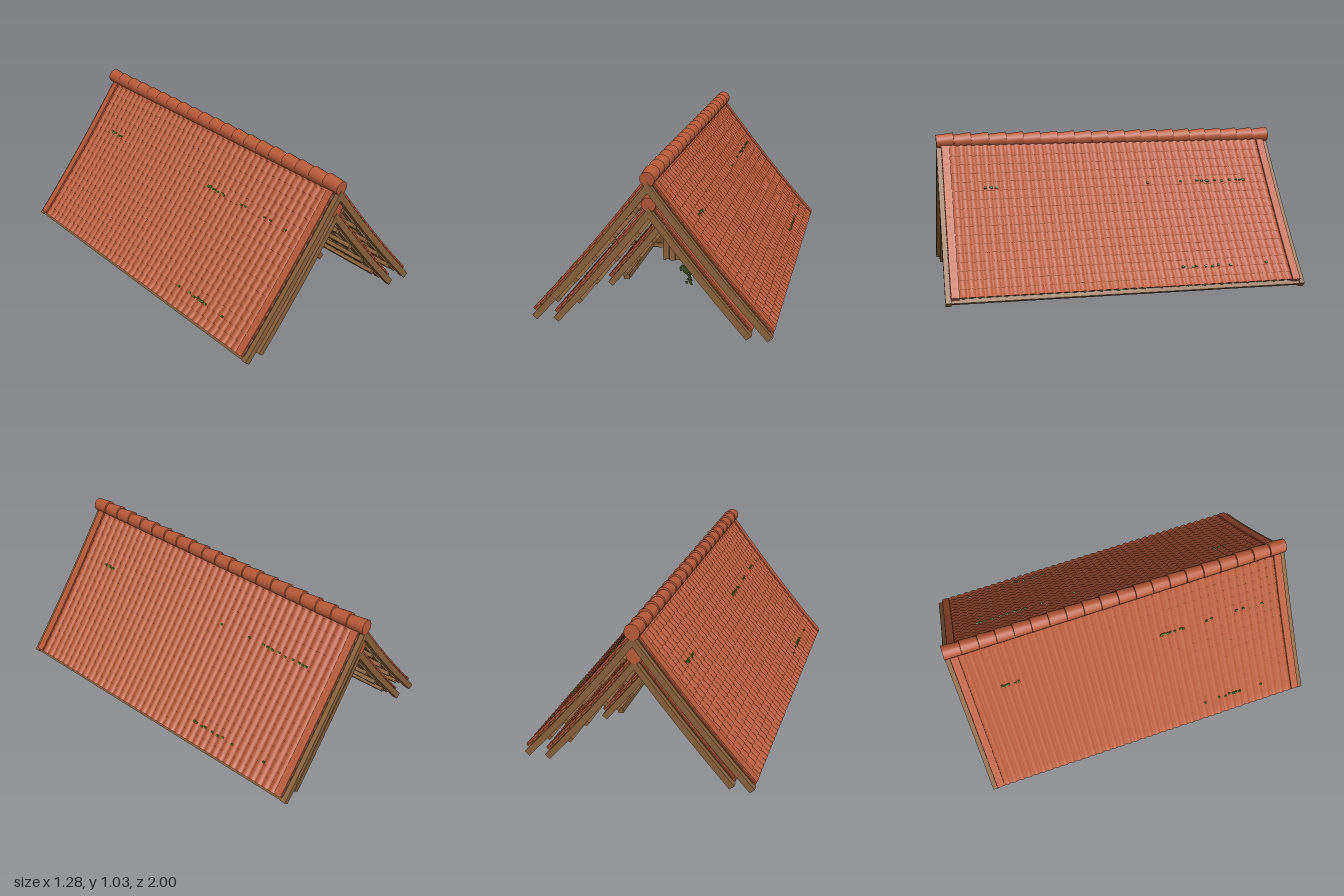
import * as THREE from 'three';

const mat = (name, color, side = THREE.FrontSide) => {
  const m = new THREE.MeshStandardMaterial({ color, side });
  m.name = name;
  return m;
};

// Small seeded generator for leaves and moss
let seed = 7;
const rnd = () => (seed = (seed * 16807) % 2147483647) / 2147483647;

// Roof curve: steep at the ridge, flaring slightly at the eaves.
// Returns a point at half-width x, sunk d below the tile surface.
function roofPoint(peak, x, d) {
  const y = peak - 1.32 * x + 0.168 * x * x;
  if (x === 0) return new THREE.Vector2(0, y - d * 1.65);
  const s = 1.32 - 0.336 * x, len = Math.hypot(s, 1);
  return new THREE.Vector2(Math.max(0, x - (d * s) / len), y - d / len);
}

// Bent band following both slopes, from depth d0 to d1
function chevron(peak, end, d0, d1, z0, z1) {
  const n = 6, outer = [], inner = [];
  for (let i = -n; i <= n; i++) {
    const flip = i < 0 ? -1 : 1, x = (Math.abs(i) / n) * end;
    const a = roofPoint(peak, x, d0), b = roofPoint(peak, x, d1);
    a.x *= flip; b.x *= flip;
    outer.push(a);
    inner.unshift(b);
  }
  const g = new THREE.ExtrudeGeometry(new THREE.Shape([...outer, ...inner]), { depth: z1 - z0, bevelEnabled: false });
  return g.translate(0, 0, z0);
}

// Corrugated tile sheet with overlapping courses on one slope
function tileSheet(peak, end, halfLen, side) {
  const waves = Math.round(halfLen * 44), cols = waves * 6, courses = Math.round(end * 28);
  const pos = [], idx = [], rows = courses * 2;
  for (let r = 0; r < rows; r++) {
    const x = (Math.ceil(r / 2) / courses) * end + 0.0005;
    const lift = r % 2 ? 0.001 : 0.007;
    for (let c = 0; c <= cols; c++) {
      const wave = Math.abs(Math.sin((c / 6) * Math.PI)) * 0.01;
      const p = roofPoint(peak, x, 0.004 + lift - wave);
      pos.push(p.x * side, p.y, -halfLen + (2 * halfLen * c) / cols);
    }
  }
  const w = cols + 1;
  for (let r = 0; r < rows - 1; r++) for (let c = 0; c < cols; c++) {
    const a = r * w + c, b = a + w;
    if (side > 0) idx.push(a, a + 1, b, b, a + 1, b + 1);
    else idx.push(a, b, a + 1, b, b + 1, a + 1);
  }
  const g = new THREE.BufferGeometry();
  g.setAttribute('position', new THREE.Float32BufferAttribute(pos, 3));
  g.setIndex(idx);
  g.computeVertexNormals();
  return g;
}

export function createModel() {
  seed = 7;
  const model = new THREE.Group();
  model.name = 'gableRoof';
  const tile = mat('terracotta', 0xb85a39, THREE.DoubleSide);
  const wood = mat('wood', 0x8a623c);
  const darkWood = mat('darkWood', 0x6e4d2e);
  const plaster = mat('plaster', 0x978a75);
  const leaf = mat('leafGreen', 0x2c430a, THREE.DoubleSide);
  const moss = mat('mossGreen', 0x4a7a14);

  const add = (parent, name, geo, material, x = 0, y = 0, z = 0) => {
    const m = new THREE.Mesh(geo, material);
    m.name = name;
    m.position.set(x, y, z);
    parent.add(m);
    return m;
  };
  const box = (parent, name, w, h, d, material, x, y, z) =>
    add(parent, name, new THREE.BoxGeometry(w, h, d), material, x, y, z);

  function roof(name, peak, end, half) {
    const g = new THREE.Group();
    g.name = name;
    model.add(g);
    const inset = half - 0.026;
    for (const s of [-1, 1]) {
      add(g, 'tiles', tileSheet(peak, end, inset, s), tile);
      // Verge tiles and barge boards on each gable end
      const v = s * (inset - 0.025), f = s * (half - 0.015);
      add(g, 'vergeTiles', chevron(peak, end, -0.003, 0.022, v - 0.022, v + 0.022), tile);
      add(g, 'bargeBoard', chevron(peak, end + 0.012, 0.018, 0.053, f - 0.015, f + 0.015), wood);
      // Eave board
      const e = roofPoint(peak, end, 0.032);
      box(g, 'eaveBoard', 0.016, 0.032, 2 * inset, wood, s * e.x, e.y, 0).rotation.z = s * 0.72;
    }
    add(g, 'roofBoards', chevron(peak, end - 0.006, 0.014, 0.024, -inset, inset), darkWood);
    // Rafters
    const count = Math.round(half * 24);
    for (let i = 1; i < count; i++) {
      const z = -half + (2 * half * i) / count;
      add(g, 'rafter', chevron(peak, end - 0.004, 0.022, 0.05, z - 0.018, z + 0.018), wood);
    }
    // Overlapping ridge caps, each tilted up toward the back
    const caps = Math.round(half * 20), pitch = (2 * half) / caps;
    for (let i = 0; i < caps; i++) {
      const cap = add(g, 'ridgeCap', new THREE.CylinderGeometry(0.042, 0.038, pitch * 0.99, 16), tile,
        0, peak - 0.012, -half + pitch * (i + 0.5));
      cap.rotation.x = -Math.PI / 2 + 0.08;
    }
    return g;
  }

  const big = roof('outerRoof', 1.0, 0.635, 0.998);
  const middle = roof('middleRoof', 0.865, 0.525, 0.98);
  const inner = roof('innerRoof', 0.715, 0.345, 0.6);

  // Purlins between the roof layers
  for (const [g, peak, xs, len] of [
    [big, 1.0, [0.12, 0.23, 0.34, 0.45, 0.55], 1.9],
    [middle, 0.865, [0.12, 0.23, 0.34, 0.44], 1.86],
    [inner, 0.715, [0.13, 0.22, 0.3], 1.14],
  ]) for (const x of xs) for (const s of [-1, 1]) {
    const p = roofPoint(peak, x, 0.06);
    box(g, 'purlin', 0.028, 0.022, len, wood, s * p.x, p.y, 0).rotation.z = -s * 0.89;
  }

  // Cross wall: plaster between the layers, timber in the centre
  const wall = new THREE.Group();
  wall.name = 'crossWall';
  model.add(wall);
  add(wall, 'outerPlaster', chevron(1.0, 0.56, 0.03, 0.09, -0.01, 0.01), plaster);
  add(wall, 'middlePlaster', chevron(0.865, 0.46, 0.03, 0.1, -0.01, 0.01), plaster);
  const gable = new THREE.Shape([[-0.27, 0.27], [0.27, 0.27], [0, 0.63]].map(p => new THREE.Vector2(...p)));
  add(wall, 'timberGable', new THREE.ExtrudeGeometry(gable, { depth: 0.02, bevelEnabled: false }), darkWood, 0, 0, -0.01);
  const pane = new THREE.Shape([[-0.06, 0.39], [0.06, 0.39], [0.06, 0.55], [0, 0.63], [-0.06, 0.55]].map(p => new THREE.Vector2(...p)));
  add(wall, 'centrePanel', new THREE.ExtrudeGeometry(pane, { depth: 0.03, bevelEnabled: false }), plaster, 0, 0, -0.015);
  box(wall, 'tieBeam', 1.06, 0.028, 0.04, wood, 0, 0.268, 0);
  for (const s of [-1, 1]) {
    box(wall, 'doorPost', 0.016, 0.18, 0.05, wood, s * 0.066, 0.47, 0);
    box(wall, 'stud', 0.016, 0.14, 0.04, wood, s * 0.14, 0.34, 0);
    box(wall, 'wallRail', 0.1, 0.014, 0.04, wood, s * 0.11, 0.44, 0);
    box(wall, 'sillBeam', 0.03, 0.03, 1.1, wood, s * 0.25, 0.272, 0);
  }

  // Balcony with plank fronts, posts and rails
  const balcony = new THREE.Group();
  balcony.name = 'balcony';
  model.add(balcony);
  for (let i = 0; i < 8; i++)
    box(balcony, 'deckPlank', 0.25, 0.018, 0.046, wood, 0, 0.262, -0.175 + i * 0.05);
  for (const z of [-0.2, 0.2]) {
    for (let i = 0; i < 7; i++)
      box(balcony, 'frontPlank', 0.034, 0.135 + (i % 2) * 0.012, 0.014, wood, -0.108 + i * 0.036, 0.325, z);
    box(balcony, 'frontBacking', 0.24, 0.12, 0.008, darkWood, 0, 0.325, z * 0.96);
    box(balcony, 'topBoard', 0.135, 0.045, 0.03, wood, 0, 0.385, z);
    for (const s of [-1, 1]) {
      box(balcony, 'post', 0.014, 0.22, 0.016, wood, s * 0.12, 0.36, z);
      box(balcony, 'handRail', 0.07, 0.01, 0.016, wood, s * 0.1, 0.45, z);
    }
  }
  for (const s of [-1, 1]) box(balcony, 'sideRail', 0.012, 0.014, 0.4, wood, s * 0.12, 0.4, 0);
  for (const s of [-1, 1])
    add(balcony, 'wheel', new THREE.TorusGeometry(0.035, 0.007, 6, 14), darkWood, s * 0.1, 0.32, -0.235).rotation.y = Math.PI / 2;

  // Hanging vine: a leafy mass with two trailing strands
  const vine = new THREE.Group();
  vine.name = 'hangingVine';
  model.add(vine);
  const leafAt = (x, y, size) => {
    const m = add(vine, 'vineLeaf', new THREE.CircleGeometry(size, 4), leaf, x, y, (rnd() - 0.5) * 0.02);
    m.rotation.set((rnd() - 0.5) * 0.6, (rnd() - 0.5) * 0.6, rnd() * 3);
  };
  for (let i = 0; i < 46; i++) {
    const t = rnd();
    leafAt(-0.012 - 0.015 * t + (rnd() - 0.5) * 0.11 * (1 - 0.3 * t), 0.238 - 0.135 * t, 0.014 + rnd() * 0.014);
  }
  for (let i = 0; i < 13; i++) leafAt(-0.02 + (rnd() - 0.5) * 0.035, 0.1 - i * 0.0068, 0.011);
  for (let i = 0; i < 12; i++) {
    const a = 1.9 - i * 0.27;
    leafAt(0.045 + Math.cos(a) * 0.038, 0.155 + Math.sin(a) * 0.042, 0.013);
  }

  // Moss tufts lying on the outer tiles
  for (const s of [-1, 1]) for (const [x, z0, z1, n] of [[0.203, 0.65, 0.75, 6], [0.203, -0.85, -0.1, 14], [0.56, -0.85, -0.3, 9]])
    for (let i = 0; i < n; i++) {
      const p = roofPoint(1.0, x + (rnd() - 0.5) * 0.006, -0.004);
      box(big, 'mossTuft', 0.01, 0.008, 0.014, moss, s * p.x, p.y, s * (z0 + (z1 - z0) * rnd())).rotation.z = -s * 0.89;
    }
  return model;
}
